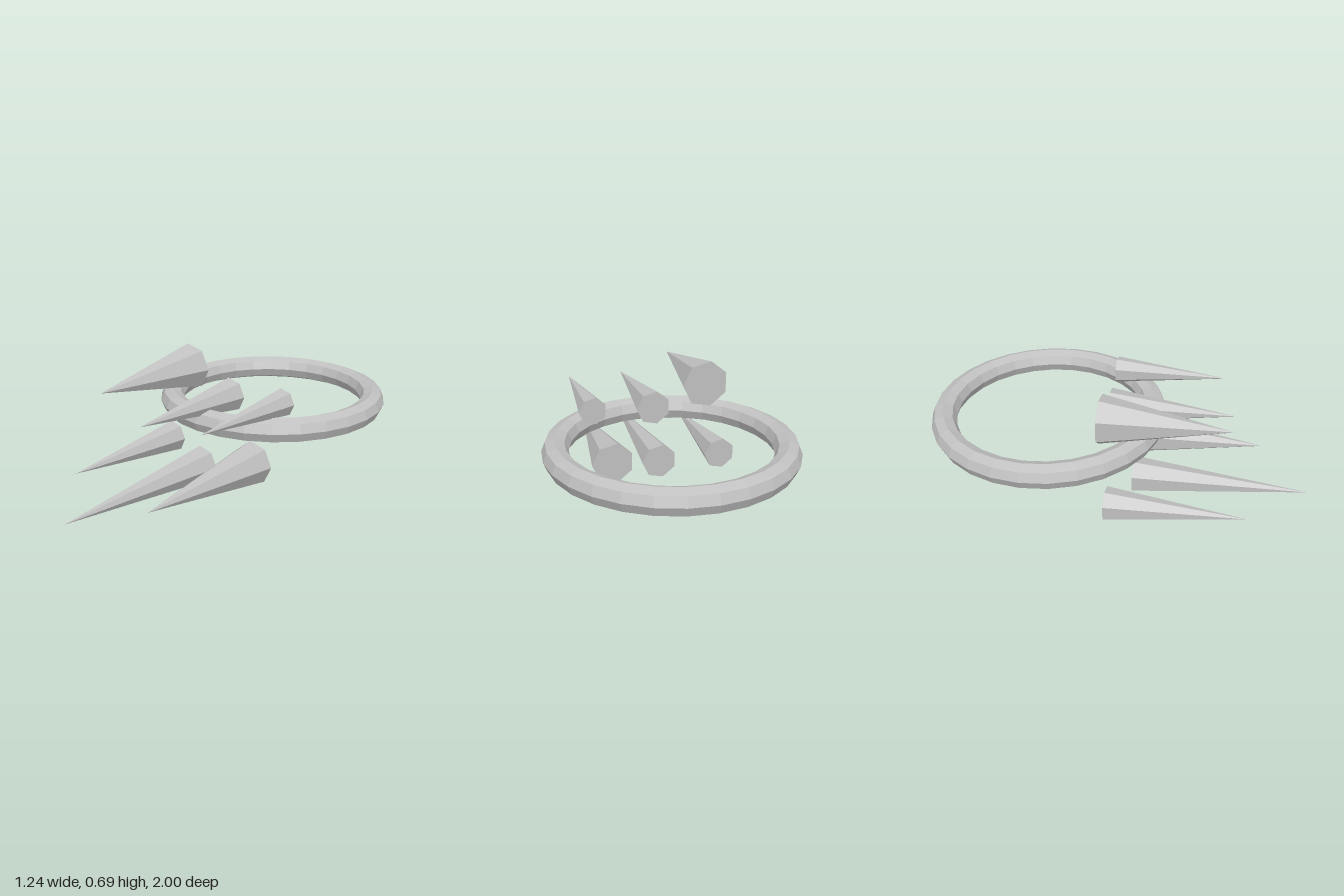
import * as THREE from 'three';

export function createModel() {
  const group = new THREE.Group();
  const grey = new THREE.MeshStandardMaterial({ color: 0xc0c0c0, flatShading: true });
  grey.name = 'grey';

  // Horizontal ring with an eight-sided tube
  const ring = new THREE.Mesh(new THREE.TorusGeometry(0.555, 0.065, 8, 28), grey);
  ring.name = 'ring';
  ring.rotation.x = Math.PI / 2;
  ring.position.set(0, 0.393, -0.38);
  group.add(ring);

  // Seven-sided spikes pointing forward: x, y, radius, base z, tip z
  const spikes = [
    [-0.302, 0.572, 0.125, -0.052, 0.587],
    [-0.015, 0.472, 0.09, -0.053, 0.595],
    [0.31, 0.497, 0.072, -0.073, 0.525],
    [-0.412, 0.145, 0.087, -0.01, 0.693],
    [-0.095, 0.097, 0.098, 0.086, 1.0],
    [0.191, 0.159, 0.115, 0.003, 0.753],
  ];
  spikes.forEach(([x, y, radius, back, tip], i) => {
    const geometry = new THREE.ConeGeometry(radius, tip - back, 7, 1, false, Math.PI / 2);
    geometry.rotateX(Math.PI / 2);
    const spike = new THREE.Mesh(geometry, grey);
    spike.name = `spike${i + 1}`;
    spike.position.set(x, y, (back + tip) / 2);
    group.add(spike);
  });

  return group;
}
